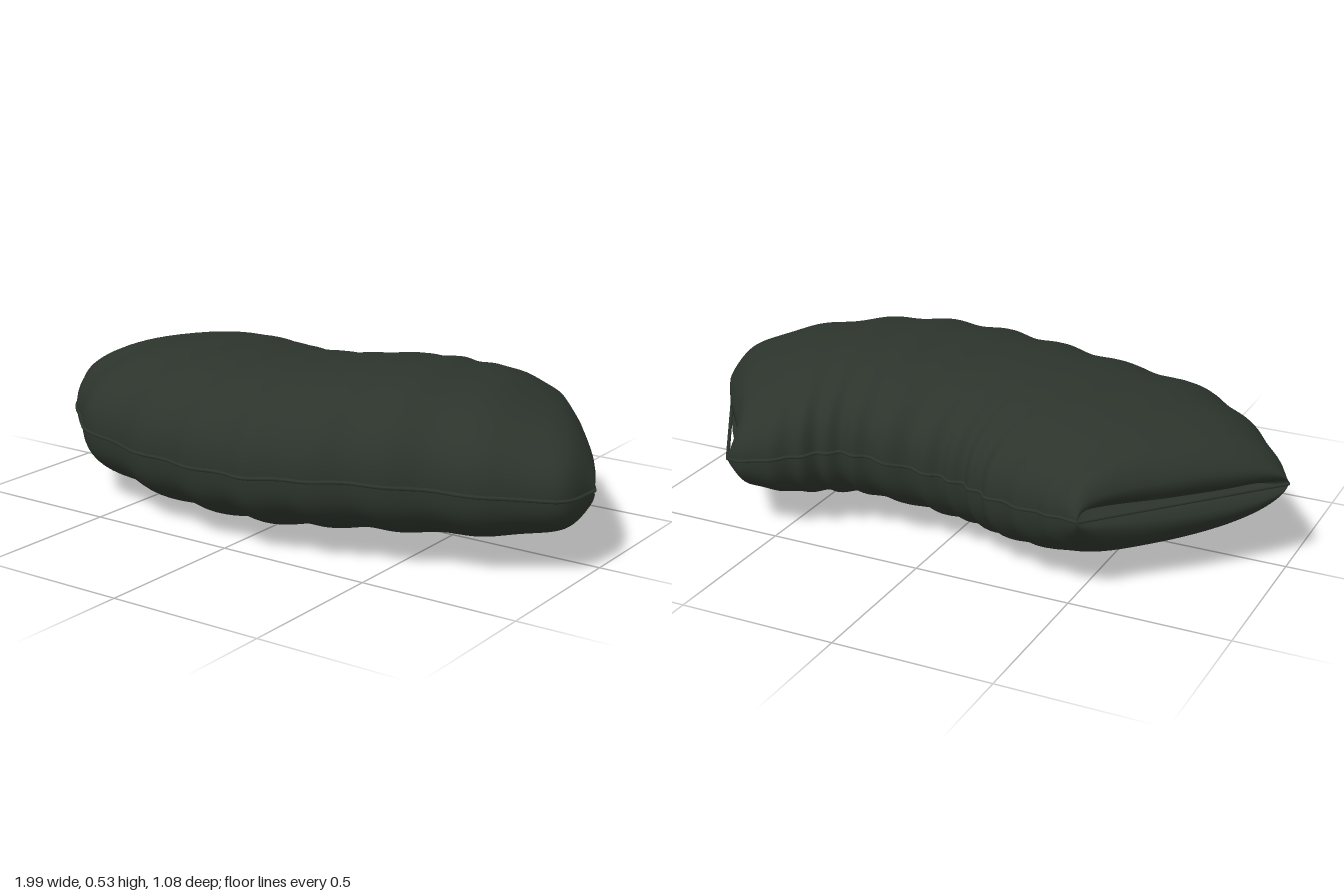
import * as THREE from 'three';

const V = (x, y, z) => new THREE.Vector3(x, y, z);
const curve = (pts) => new THREE.CatmullRomCurve3(pts.map(([x, z]) => V(x, 0, z)));

// Plan outline of the cushion: long front edge and short back edge (x, z)
const front = curve([[-0.99, 0], [-0.89, 0.155], [-0.67, 0.37], [-0.4, 0.452], [-0.15, 0.5], [0.12, 0.522],
  [0.38, 0.467], [0.6, 0.382], [0.8, 0.3], [0.96, 0.18], [0.988, 0.03]]);
const back = curve([[-0.53, -0.515], [-0.36, -0.475], [-0.2, -0.425], [-0.1, -0.38], [0.05, -0.375], [0.2, -0.4],
  [0.33, -0.42], [0.46, -0.5], [0.58, -0.533], [0.65, -0.518]]);
// Height of the body's middle along the cushion
const middleHeight = new THREE.SplineCurve([[0, 0.28], [0.16, 0.262], [0.33, 0.252], [0.5, 0.267], [0.7, 0.293],
  [0.85, 0.28], [1, 0.25]].map(([x, y]) => new THREE.Vector2(x, y)));

// Point on the padded surface: u runs end to end, v runs round from the front seam over the top
function surfacePoint(u, v, pocket = 0) {
  const F = front.getPointAt(u), B = back.getPointAt(u);
  const c = Math.cos(v), s = Math.sin(v);
  const across = Math.sign(c) * Math.abs(c) ** 0.86;
  const lift = Math.sign(s) * Math.abs(s) ** 0.86;
  const span = 1 - 0.15 * pocket;
  const p = F.clone().add(B).multiplyScalar(0.5).addScaledVector(F.clone().sub(B), 0.5 * across * span);

  // Gathered folds: broad along the front, fine along the back
  const fade = Math.sin(Math.PI * u) ** 0.5;
  const broad = Math.sin(u * 62 + 0.8 * Math.sin(u * 11));
  const fine = Math.sin(u * 80 + 1.3 * Math.sin(u * 17));
  const fold = fade * (c > 0 ? 0.009 * broad : 0.009 * fine) * c * c;
  p.addScaledVector(F.clone().sub(B).normalize(), fold * Math.sign(c));

  // Plump body that pinches into a narrow slot at either end
  const e = Math.abs(2 * u - 1);
  const h = (0.045 + 0.2 * Math.sqrt(Math.max(0, 1 - e ** 3.5))) * (1 - pocket);
  const ripple = fade * (0.003 * broad + (c < 0 ? 0.008 * fine : 0.006 * broad) * c * c);
  const seamDrop = c > 0 ? 0.02 * fade * c ** 4 : 0;
  p.y = middleHeight.getPoint(u).y + lift * (h + ripple) - seamDrop;

  // Ends bulge slightly at the front and sag inwards towards the back
  const side = u < 0.5 ? 1 : -1;
  const sag = Math.exp(-Math.min(u, 1 - u) * 14) * s * s * (0.004 - (c < 0 ? 0.075 : 0.03) * c);
  p.x += side * (sag + 0.06 * pocket);
  return p;
}

// Closed skin made from cross-section loops, with a recessed pocket at each end
function cushionGeometry() {
  const rows = 240, around = 72, rings = [[0, 1], [0, 0.5]];
  for (let i = 0; i <= rows; i++) {
    const t = i / rows;
    rings.push([0.5 * t + 0.5 * (0.5 - 0.5 * Math.cos(Math.PI * t)), 0]);
  }
  rings.push([1, 0.5], [1, 1]);
  const position = [], index = [];
  for (const [u, pocket] of rings) {
    for (let j = 0; j < around; j++) position.push(...surfacePoint(u, (j / around) * Math.PI * 2, pocket).toArray());
  }
  for (let i = 0; i < rings.length - 1; i++) {
    for (let j = 0; j < around; j++) {
      const k = (j + 1) % around;
      const a = i * around + j, b = a + around, c = i * around + k, d = c + around;
      index.push(a, b, c, b, d, c);
    }
  }
  const g = new THREE.BufferGeometry();
  g.setAttribute('position', new THREE.Float32BufferAttribute(position, 3));
  g.setIndex(index);
  g.computeVertexNormals();
  return g;
}

export function createModel() {
  const group = new THREE.Group();
  group.name = 'curvedCushion';
  const fabric = new THREE.MeshStandardMaterial({ color: 0x2c342c, side: THREE.DoubleSide });
  fabric.name = 'dark green fabric';

  const add = (name, geometry) => {
    const mesh = new THREE.Mesh(geometry, fabric);
    mesh.name = name;
    group.add(mesh);
  };
  add('cushionBody', cushionGeometry());

  // Piped seams along the front and back edges
  for (const [name, v] of [['frontSeam', 0], ['backSeam', Math.PI]]) {
    const pts = [];
    for (let i = 0; i <= 120; i++) pts.push(surfacePoint(i / 120, v));
    add(name, new THREE.TubeGeometry(new THREE.CatmullRomCurve3(pts), 240, 0.006, 6));
  }

  // Taut cords closing the open ends
  for (const [name, u] of [['rightEndCord', 0], ['leftEndCord', 1]]) {
    const a = surfacePoint(u, 0), b = surfacePoint(u, Math.PI);
    add(name, new THREE.TubeGeometry(new THREE.LineCurve3(a, b), 8, 0.006, 6));
  }
  return group;
}
